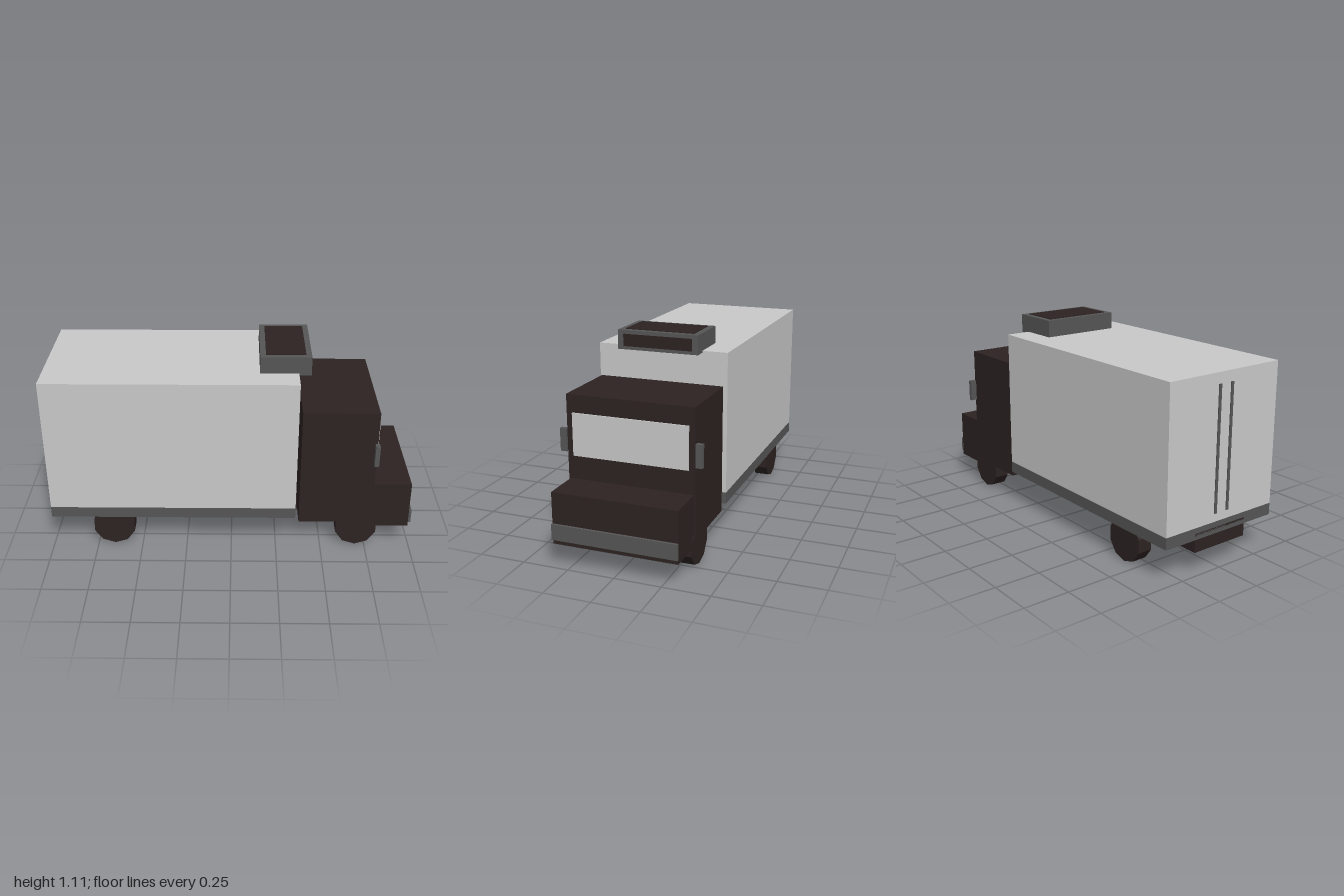
import * as THREE from 'three';

export function createModel() {
  const truck = new THREE.Group();
  truck.name = 'boxTruck';

  const material = (name, color) => {
    const m = new THREE.MeshStandardMaterial({ color });
    m.name = name;
    return m;
  };
  const dark = material('dark brown', 0x2d2222);
  const grey = material('mid grey', 0x565656);
  const light = material('light grey', 0xc9c9c9);

  // Box given by its extents along each axis
  const box = (name, mat, [x0, x1], [y0, y1], [z0, z1]) => {
    const mesh = new THREE.Mesh(new THREE.BoxGeometry(x1 - x0, y1 - y0, z1 - z0), mat);
    mesh.position.set((x0 + x1) / 2, (y0 + y1) / 2, (z0 + z1) / 2);
    mesh.name = name;
    truck.add(mesh);
  };

  // Cargo body and chassis
  box('cargoBox', light, [-0.995, 0.355], [0.255, 1.012], [-0.358, 0.358]);
  box('cargoSkirt', grey, [-0.995, 0.355], [0.192, 0.255], [-0.358, 0.358]);
  box('chassis', dark, [-0.995, 0.8], [0.125, 0.225], [-0.17, 0.17]);

  // Rear door strips
  for (const z of [-0.04, 0.04]) {
    box('doorStrip', grey, [-1, -0.994], [0.3, 0.955], [z - 0.008, z + 0.008]);
  }

  // Cab, hood, bumper and windshield
  box('cab', dark, [0.375, 0.78], [0.157, 0.84], [-0.341, 0.341]);
  box('hood', dark, [0.78, 0.986], [0.125, 0.398], [-0.332, 0.332]);
  box('bumper', grey, [0.986, 1], [0.15, 0.233], [-0.333, 0.333]);
  box('windshield', light, [0.779, 0.788], [0.523, 0.747], [-0.309, 0.309]);

  // Roof unit with inset-coloured panels
  box('roofUnit', grey, [0.15, 0.42], [1.002, 1.104], [-0.221, 0.221]);
  box('roofUnitTopPanel', dark, [0.18, 0.39], [1.102, 1.108], [-0.189, 0.189]);
  box('roofUnitFrontPanel', dark, [0.418, 0.424], [1.02, 1.084], [-0.189, 0.189]);

  // Mirrors and ten-sided wheels on both sides
  const wheelGeometry = new THREE.CylinderGeometry(0.118, 0.118, 0.083, 10).rotateX(Math.PI / 2).toNonIndexed();
  wheelGeometry.computeVertexNormals();
  for (const side of [-1, 1]) {
    const zs = [0.344, 0.379].map((z) => z * side).sort((a, b) => a - b);
    box('mirror', grey, [0.764, 0.788], [0.541, 0.661], zs);
    for (const x of [-0.655, 0.697]) {
      const wheel = new THREE.Mesh(wheelGeometry, dark);
      wheel.name = x < 0 ? 'rearWheel' : 'frontWheel';
      wheel.position.set(x, 0.118, side * 0.2915);
      truck.add(wheel);
    }
  }

  return truck;
}
